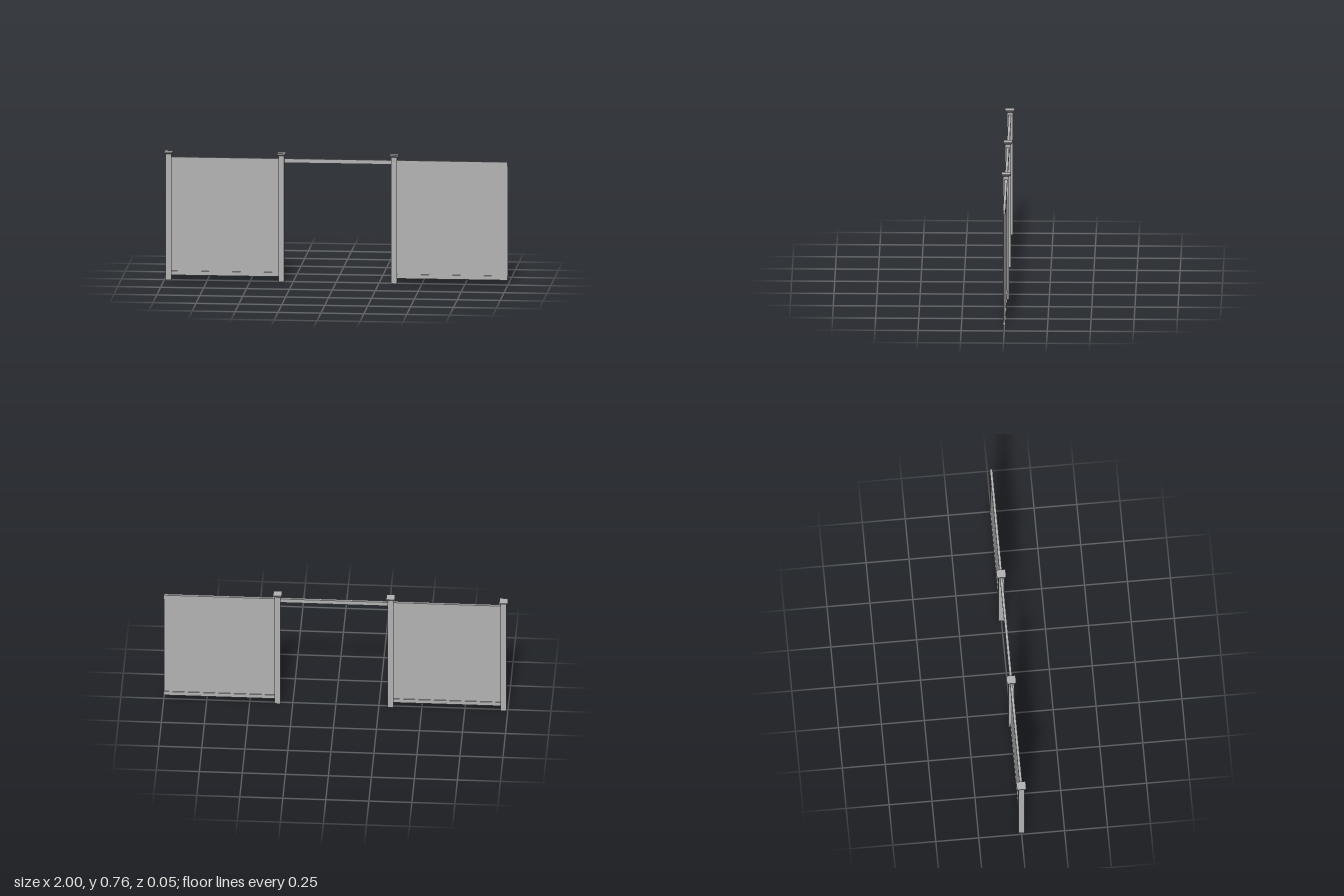
import * as THREE from 'three';

const POST_X = [-0.975, -0.318, 0.339];
const POST_W = 0.034;
const POST_H = 0.746;

// Rectangular tube with open ends, extruded along +z
function tubeGeometry(w, h, wall, length) {
  const rect = (Type, a, b) => {
    const s = new Type();
    s.moveTo(-a, -b);
    s.lineTo(a, -b);
    s.lineTo(a, b);
    s.lineTo(-a, b);
    s.closePath();
    return s;
  };
  const shape = rect(THREE.Shape, w / 2, h / 2);
  shape.holes.push(rect(THREE.Path, w / 2 - wall, h / 2 - wall));
  return new THREE.ExtrudeGeometry(shape, { depth: length, bevelEnabled: false });
}

export function createModel() {
  const gray = new THREE.MeshStandardMaterial({ color: 0xb2b2b2 });
  gray.name = 'grayVinyl';

  const root = new THREE.Group();
  root.name = 'fence';
  const add = (parent, name, geometry, x, y, z) => {
    const mesh = new THREE.Mesh(geometry, gray);
    mesh.name = name;
    mesh.position.set(x, y, z);
    parent.add(mesh);
    return mesh;
  };

  // Hollow posts with flared flat caps
  const postGeo = tubeGeometry(POST_W, POST_W, 0.003, POST_H).rotateX(-Math.PI / 2);
  const slabGeo = new THREE.BoxGeometry(0.05, 0.007, 0.054);
  const flareGeo = new THREE.CylinderGeometry(0.052 * Math.SQRT1_2, 0.037 * Math.SQRT1_2, 0.007, 4, 1)
    .rotateY(Math.PI / 4).scale(0.95, 1, 1).toNonIndexed();
  flareGeo.computeVertexNormals();
  for (const x of POST_X) {
    const post = new THREE.Group();
    post.name = 'post';
    post.position.x = x;
    add(post, 'postShaft', postGeo, 0, 0, 0);
    add(post, 'capFlare', flareGeo, 0, 0.7475, 0);
    add(post, 'capSlab', slabGeo, 0, 0.7545, 0);
    root.add(post);
  }

  // Each bay spans from one post face to the next, the last ends free
  const bay = (name, x0, x1, hasPanel) => {
    const group = new THREE.Group();
    group.name = name;
    const length = x1 - x0;
    const railGeo = tubeGeometry(0.016, 0.025, 0.003, length).rotateY(Math.PI / 2);
    add(group, 'topRail', railGeo, x0, 0.7135, 0);
    if (hasPanel) {
      add(group, 'bottomRail', railGeo, x0, 0.0415, 0);
      add(group, 'panel', new THREE.BoxGeometry(length, 0.656, 0.008), (x0 + x1) / 2, 0.3775, 0);
    }
    root.add(group);
  };
  const h = POST_W / 2;
  bay('rightBay', POST_X[0] + h, POST_X[1] - h, true);
  bay('openBay', POST_X[1] + h, POST_X[2] - h, false);
  bay('leftBay', POST_X[2] + h, 1, true);

  return root;
}
